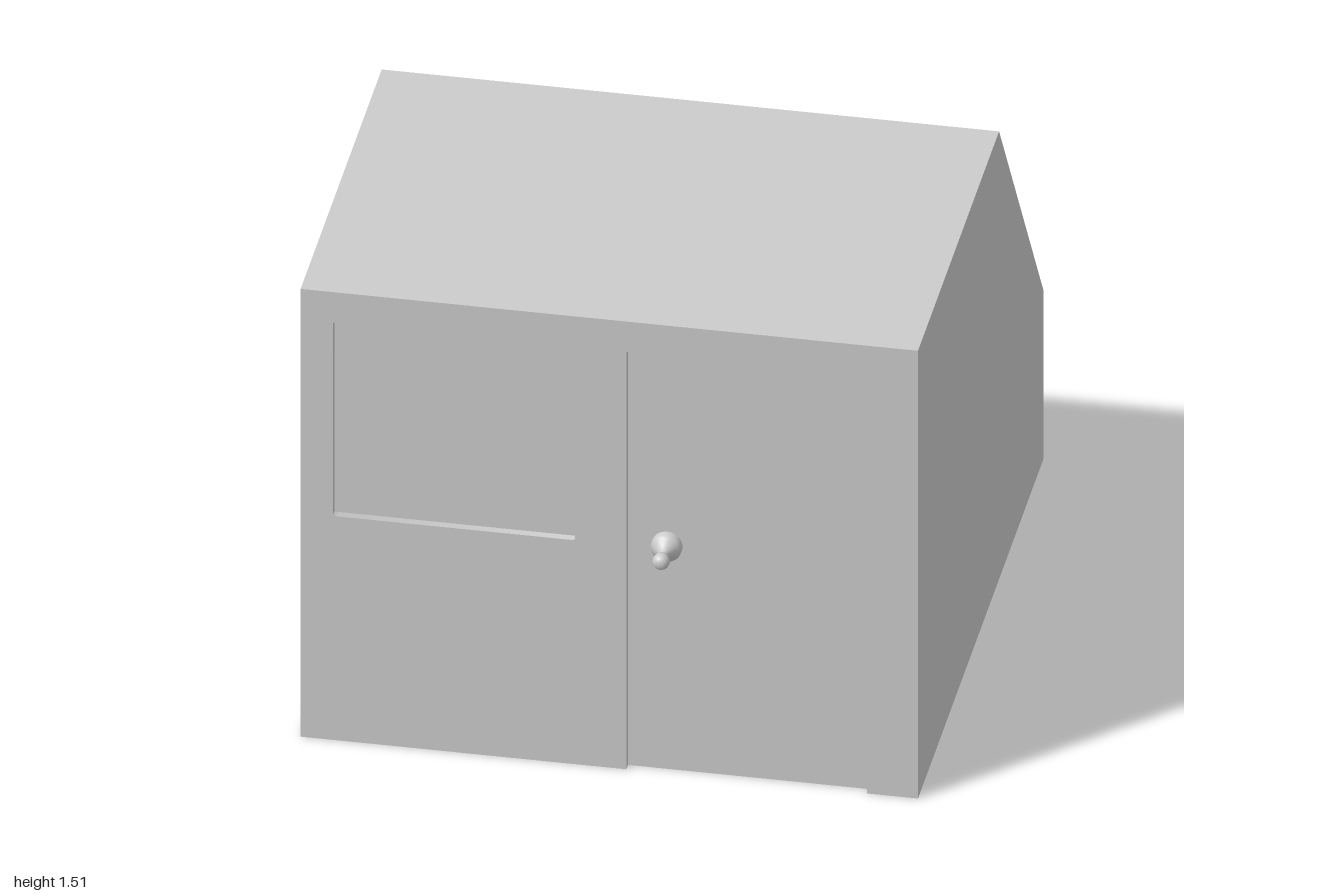
import * as THREE from 'three';
import { toCreasedNormals } from 'three/addons/utils/BufferGeometryUtils.js';

const W = 1.81, H = 1.51, T = 0.1, FRONT = 0.91;   // width, height, wall thickness, front plane
const R = 0.01;                                    // opening corner radius
const material = new THREE.MeshStandardMaterial({ color: 0xcccccc });

function add(group, name, geometry, x = 0, y = 0, z = 0) {
  const mesh = new THREE.Mesh(geometry, material);
  mesh.name = name;
  mesh.position.set(x, y, z);
  group.add(mesh);
  return mesh;
}

// Extrudes a side profile of [z, y] points along x, centred on x = 0
function extrudeAcross(points, width) {
  const shape = new THREE.Shape(points.map(([z, y]) => new THREE.Vector2(z, y)));
  const geometry = new THREE.ExtrudeGeometry(shape, { depth: width, bevelEnabled: false });
  geometry.rotateY(-Math.PI / 2).translate(width / 2, 0, 0);
  return toCreasedNormals(geometry, 0.8);
}

export function createModel() {
  const group = new THREE.Group();
  group.name = 'shelter';

  // Roof, slope and back wall as one bent band
  const outer = [[FRONT - T, H], [-0.325, H], [-1, 0.57], [-1, 0]];
  const inner = [[-0.9, 0], [-0.9, 0.54], [-0.274, H - T], [FRONT - T, H - T]];
  add(group, 'roofAndBack', extrudeAcross([...outer, ...inner], W));

  // Side walls fill the inside of the band
  for (const [name, side] of [['leftWall', 1], ['rightWall', -1]]) {
    add(group, name, extrudeAcross([[FRONT - T, 0], ...inner], T), side * (W - T) / 2);
  }

  // Front wall with a door notch and a window hole
  const door = { x0: 0.05, x1: 0.755, y0: 0, y1: 1.41 };
  const win = { x0: -0.81, x1: -0.1, y0: 0.755, y1: 1.41 };
  const wall = new THREE.Shape();
  wall.moveTo(-W / 2, 0);
  wall.lineTo(door.x0, 0);
  wall.lineTo(door.x0, door.y1 - R);
  wall.quadraticCurveTo(door.x0, door.y1, door.x0 + R, door.y1);
  wall.lineTo(door.x1 - R, door.y1);
  wall.quadraticCurveTo(door.x1, door.y1, door.x1, door.y1 - R);
  wall.lineTo(door.x1, 0);
  wall.lineTo(W / 2, 0);
  wall.lineTo(W / 2, H);
  wall.lineTo(-W / 2, H);
  wall.closePath();

  const hole = new THREE.Path();
  hole.absarc(win.x0 + R, win.y0 + R, R, Math.PI, Math.PI * 1.5);
  hole.absarc(win.x1 - R, win.y0 + R, R, Math.PI * 1.5, Math.PI * 2);
  hole.absarc(win.x1 - R, win.y1 - R, R, 0, Math.PI / 2);
  hole.absarc(win.x0 + R, win.y1 - R, R, Math.PI / 2, Math.PI);
  hole.closePath();
  wall.holes.push(hole);

  const wallGeometry = new THREE.ExtrudeGeometry(wall, { depth: T, bevelEnabled: false, curveSegments: 4 });
  add(group, 'frontWall', toCreasedNormals(wallGeometry, 0.8), 0, 0, FRONT - T);

  // Door and window panels, set back from both faces of the wall
  for (const [name, p] of [['door', door], ['windowPane', win]]) {
    const panel = new THREE.BoxGeometry(p.x1 - p.x0, p.y1 - p.y0, T / 2);
    add(group, name, panel, (p.x0 + p.x1) / 2, (p.y0 + p.y1) / 2, FRONT - T / 2);
  }

  // Turned door knob: [radius, distance from the door]
  const knobProfile = [
    [0.045, 0], [0.045, 0.019], [0.038, 0.026], [0.024, 0.043], [0.013, 0.057], [0.013, 0.07],
    [0.021, 0.076], [0.025, 0.088], [0.024, 0.1], [0.018, 0.11], [0.009, 0.1145], [0, 0.115],
  ].map(([r, h]) => new THREE.Vector2(r, h));
  const knob = new THREE.LatheGeometry(knobProfile, 32);
  knob.rotateX(Math.PI / 2);
  add(group, 'doorKnob', knob, 0.165, 0.755, FRONT - T / 4);

  return group;
}
